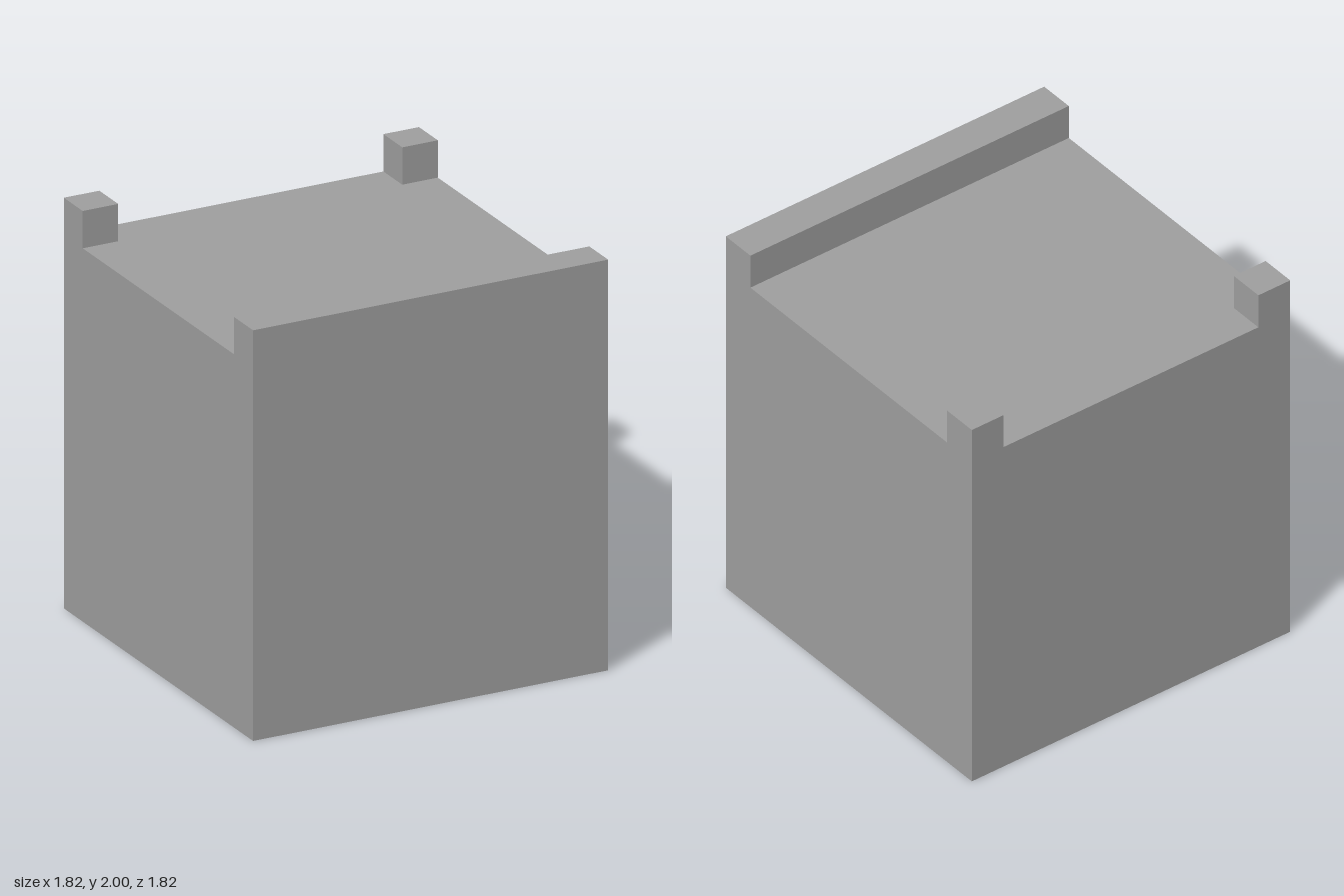
import * as THREE from 'three';

const SIDE = 20 / 11; // width, depth and height of the block
const STEP = 2 / 11; // thickness and height of the raised parts

export function createModel() {
  const group = new THREE.Group();
  const material = new THREE.MeshStandardMaterial({ color: 0x9e9e9e, flatShading: true });

  // Adds a box standing on height y
  function addBox(name, width, height, depth, x, y, z) {
    const mesh = new THREE.Mesh(new THREE.BoxGeometry(width, height, depth), material);
    mesh.name = name;
    mesh.position.set(x, y + height / 2, z);
    group.add(mesh);
  }

  const edge = (SIDE - STEP) / 2;

  // Solid cube body
  addBox('body', SIDE, SIDE, SIDE, 0, 0, 0);

  // Full-width ridge along the front top edge
  addBox('frontRidge', SIDE, STEP, STEP, 0, SIDE, edge);

  // Small posts on the two back corners
  for (const [name, sign] of [['backLeftPost', 1], ['backRightPost', -1]]) {
    addBox(name, STEP, STEP, STEP, sign * edge, SIDE, -edge);
  }

  return group;
}
